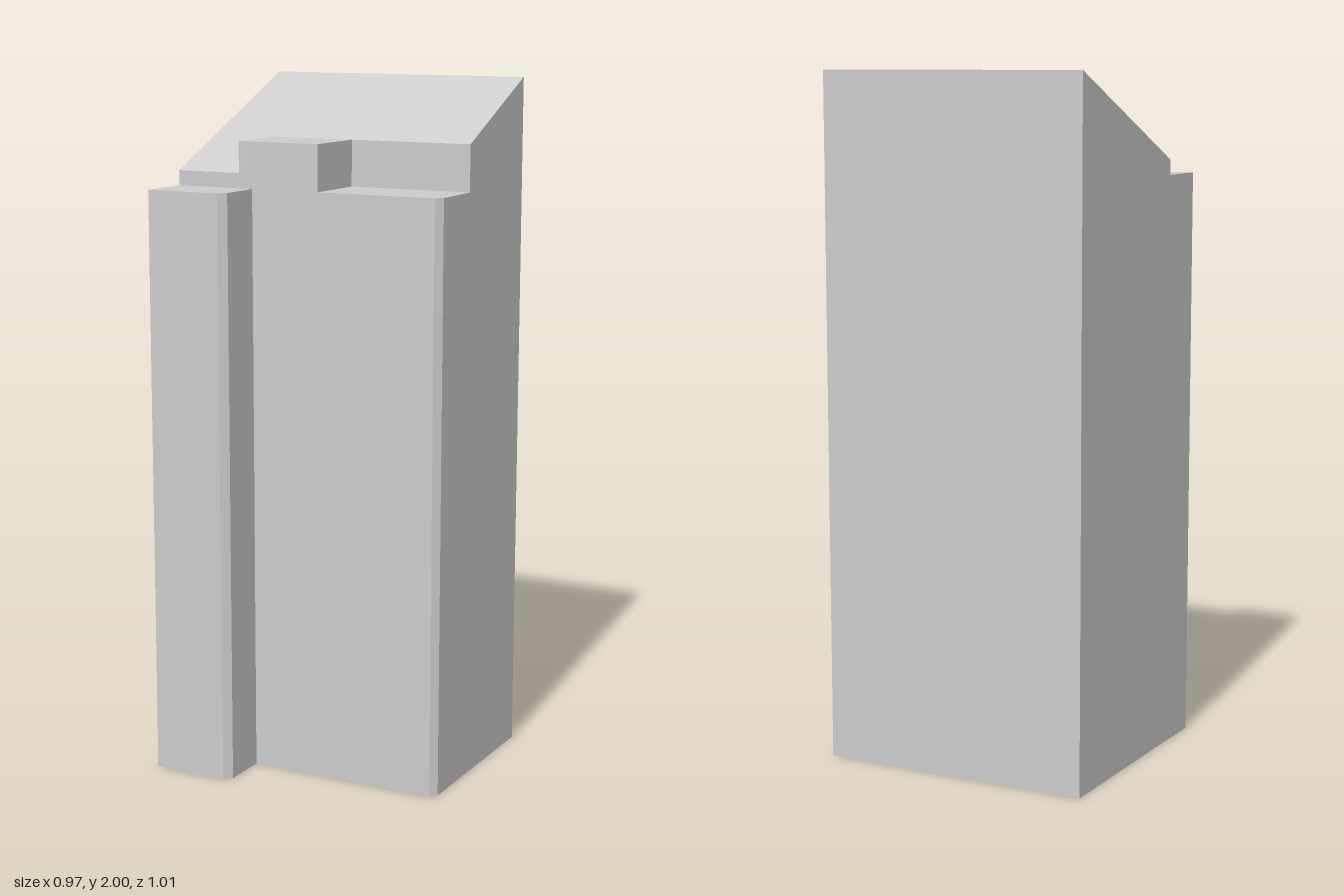
import * as THREE from 'three';

// Plan corners as [x, z]
const P = {
  A: [-0.485, -0.153], B: [0.243, -0.505], C: [0.408, -0.173], D: [0.484, -0.02],
  E: [0.476, 0.005], F: [0.157, 0.163], G: [0.077, -0.013], H: [-0.147, 0.097],
  I: [-0.066, 0.275], J: [-0.245, 0.36], K: [-0.18, 0.503], L: [0.018, 0.404],
  M: [0.029, 0.377], N: [-0.03, 0.255],
};
const HIGH = 1.832, LOW = 1.7;
const pitch = { A: 2, B: 2, C: HIGH, G: HIGH, H: HIGH, I: 1.743, J: 1.743 };

// Each block: its outline, counter-clockwise from above, and its height at a corner
const blocks = [
  { name: 'mainBlockWithSlopedRoof', ring: [...'AJIHGCB'], top: (k) => pitch[k] },
  { name: 'middleFlatBlock', ring: [...'HINFG'], top: () => HIGH },
  { name: 'leftFrontBlock', ring: [...'GFEDC'], top: () => LOW },
  { name: 'rightFrontWing', ring: [...'JKLMNI'], top: () => LOW },
];

const point = (k, y) => [P[k][0], y, P[k][1]];

// Triangles of a flat or sloping cap over an outline
function cap(ring, top, flip) {
  const contour = ring.map((k) => new THREE.Vector2(P[k][0], -P[k][1]));
  return THREE.ShapeUtils.triangulateShape(contour, []).flatMap((tri) =>
    (flip ? [...tri].reverse() : tri).flatMap((i) => point(ring[i], top(ring[i]))));
}

// The block sharing edge a-b, running the other way
function neighbour(a, b) {
  return blocks.find(({ ring }) =>
    ring.some((k, i) => k === b && ring[(i + 1) % ring.length] === a));
}

// Outer walls reach the ground; steps stop at the lower neighbour's top
function walls({ ring, top }) {
  const out = [];
  ring.forEach((a, i) => {
    const b = ring[(i + 1) % ring.length];
    const next = neighbour(a, b);
    const base = next ? next.top : () => 0;
    const ta = top(a), tb = top(b), ba = base(a), bb = base(b);
    if (tb > bb) out.push(...point(a, ba), ...point(b, bb), ...point(b, tb));
    if (ta > ba && tb >= bb) out.push(...point(a, ba), ...point(b, tb), ...point(a, ta));
  });
  return out;
}

export function createModel() {
  const group = new THREE.Group();
  group.name = 'building';
  const material = new THREE.MeshStandardMaterial({ color: 0xcccccc, flatShading: true });

  for (const block of blocks) {
    const ground = cap(block.ring, () => 0, true);
    const positions = [...cap(block.ring, block.top, false), ...walls(block), ...ground];
    const geometry = new THREE.BufferGeometry();
    geometry.setAttribute('position', new THREE.Float32BufferAttribute(positions, 3));
    geometry.computeVertexNormals();
    const mesh = new THREE.Mesh(geometry, material);
    mesh.name = block.name;
    group.add(mesh);
  }
  return group;
}
